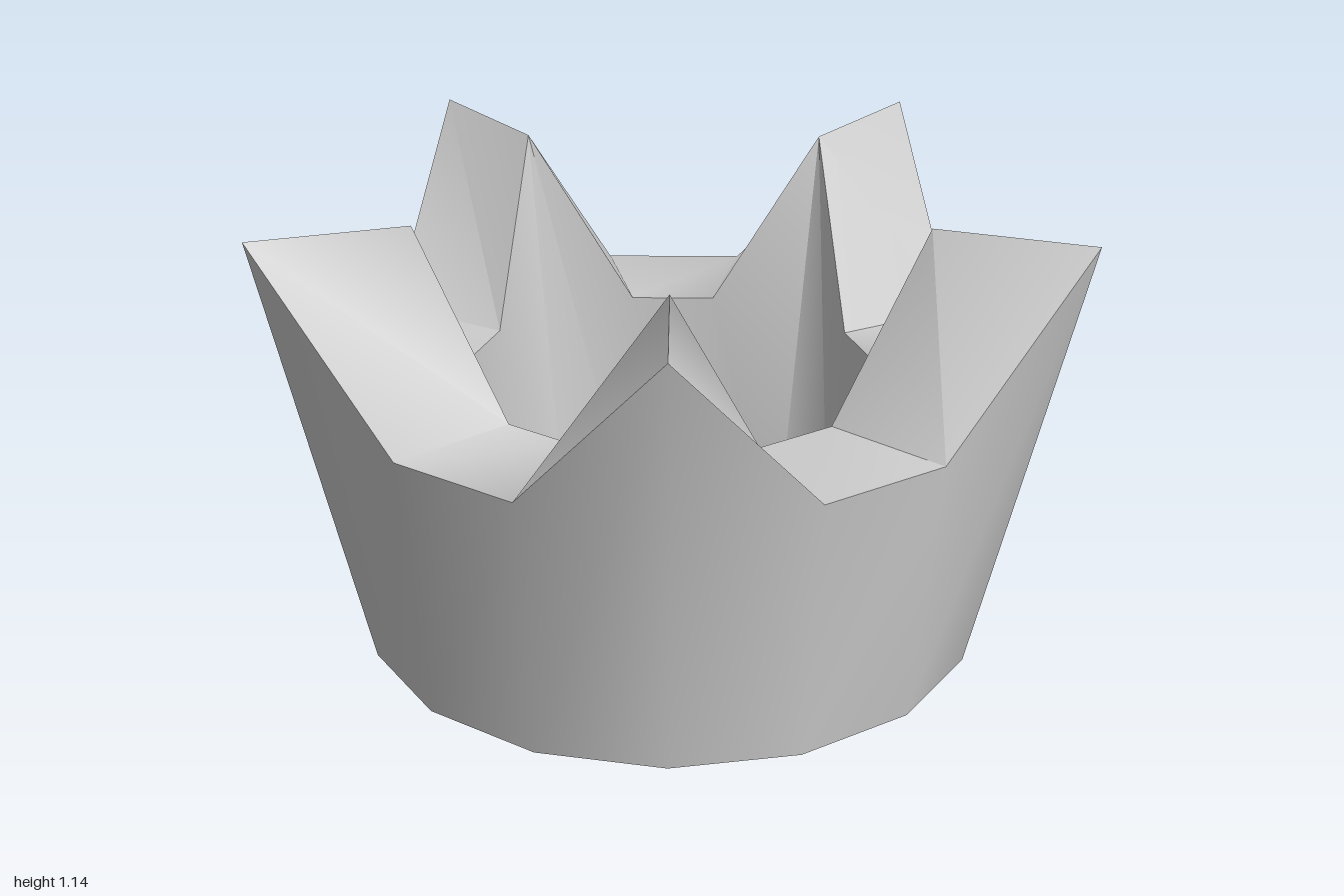
import * as THREE from 'three';
import { toCreasedNormals } from 'three/addons/utils/BufferGeometryUtils.js';

const SIDES = 15, STEP = (Math.PI * 2) / SIDES;
const START = THREE.MathUtils.degToRad(48);

// Radial cross-sections as [radius, height]: outer foot, outer rim, inner rim, inner foot
const SPIKE = [[0.78, 0], [1.055, 1.14], [0.652, 1.14], [0.49, 0]];
const VALLEY = [[0.78, 0], [0.86, 0.69], [0.52, 0.69], [0.49, 0]];

function createCrownGeometry() {
  const positions = [];
  // Every third section rises into a flared spike
  const point = (j, k) => {
    const [r, y] = (j % 3 === 0 ? SPIKE : VALLEY)[k % 4];
    const t = START + j * STEP;
    return [r * Math.cos(t), y, r * Math.sin(t)];
  };
  for (let j = 0; j < SIDES; j++) {
    for (let k = 0; k < 4; k++) {
      const a = point(j, k), b = point(j + 1, k);
      const c = point(j + 1, k + 1), d = point(j, k + 1);
      // The inner wall is split along the same diagonal as the outer wall
      const corners = k === 2 ? [b, a, c, a, d, c] : [b, a, d, b, d, c];
      positions.push(...corners.flat());
    }
  }
  const geometry = new THREE.BufferGeometry();
  geometry.setAttribute('position', new THREE.Float32BufferAttribute(positions, 3));
  // Smooth round the walls, sharp at the rim and foot
  return toCreasedNormals(geometry, 1.0);
}

export function createModel() {
  const group = new THREE.Group();
  group.name = 'crown';
  const material = new THREE.MeshStandardMaterial({ color: 0xcccccc });
  const band = new THREE.Mesh(createCrownGeometry(), material);
  band.name = 'spikedBand';
  // The five spikes reach unevenly in x and z, so the ring axis sits off centre
  band.position.set(0.03, 0, 0.067);
  group.add(band);
  return group;
}
